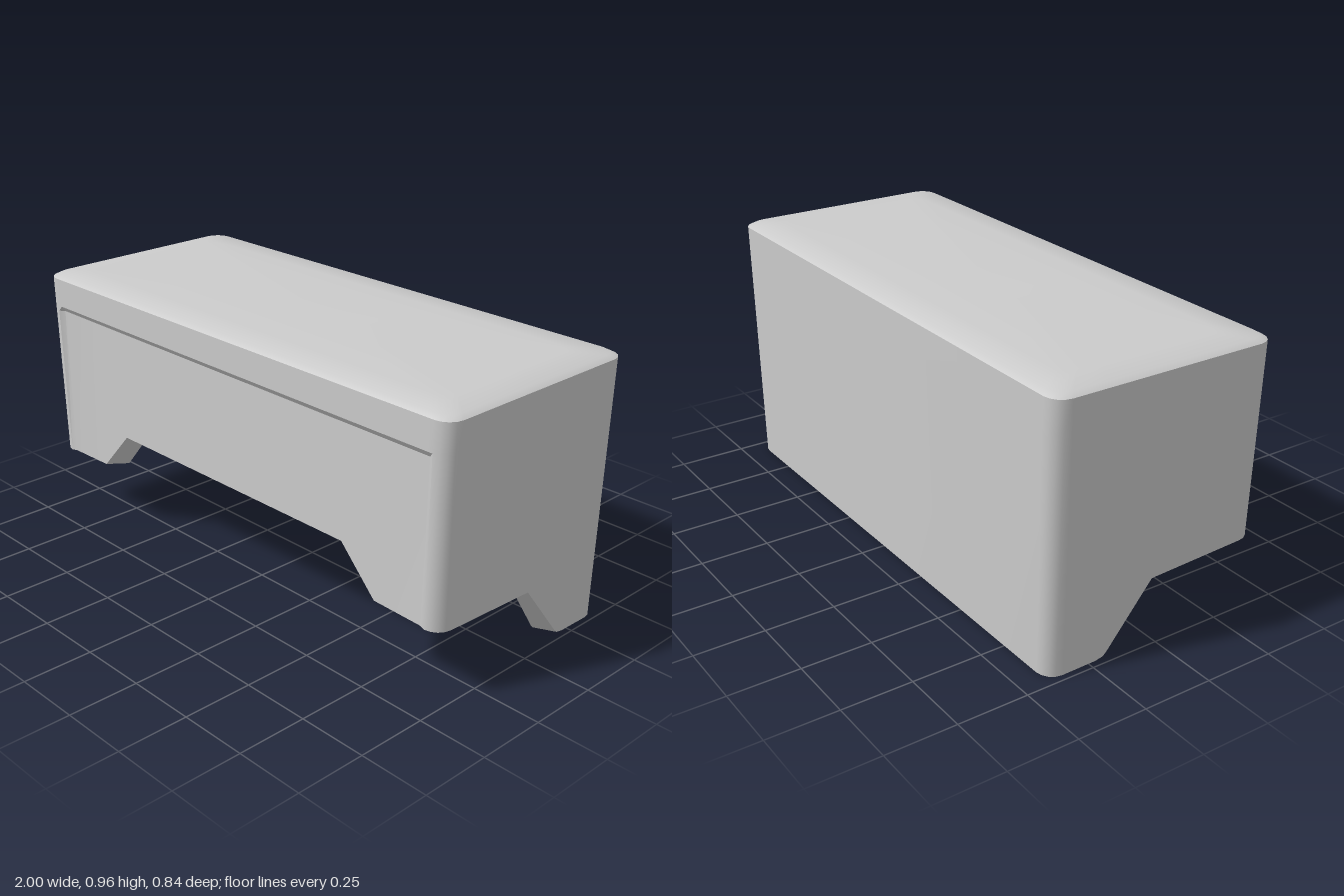
import * as THREE from 'three';
import { toCreasedNormals } from 'three/addons/utils/BufferGeometryUtils.js';

const HX = 1, HZ = 0.42, R = 0.06, WALL = 0.075;

// Half of the plan outline, front centre to back centre: [x, z, hem height]
function halfOutline() {
  const pts = [[0, HZ, 0.41], [0.57, HZ, 0.41], [0.72, HZ, 0.255], [0.92, HZ, 0.25]];
  const corner = (sign, hem) => {
    for (let i = 0; i <= 4; i++) {
      const a = (i / 4) * Math.PI / 2;
      const s = sign > 0 ? Math.sin(a) : Math.cos(a);
      const c = sign > 0 ? Math.cos(a) : Math.sin(a);
      pts.push([HX - R + R * s, sign * (HZ - R + R * c), hem]);
    }
  };
  corner(1, 0.248);
  // side hem: level, then a slope down to the rear leg
  pts.push([HX, -0.015, 0.232], [HX, -0.187, 0.02], [HX, -0.2, 0.008], [HX, -0.23, 0.002]);
  corner(-1, 0);
  pts.push([0, -HZ, 0]);
  return pts;
}

// Closed outline, counter-clockwise from above
function outline() {
  const half = halfOutline();
  const mirrored = half.slice(1, -1).reverse().map(([x, z, h]) => [-x, z, h]);
  return [...half, ...mirrored];
}

function coverGeometry() {
  const plan = outline(), n = plan.length;
  // walls lean in slightly towards the hem
  const taper = y => 0.978 + 0.022 * Math.min(1, y / 0.94);
  const ring = (yOf, inset = 0, recess = 0) => plan.map(([x, z, h]) => {
    const y = yOf(h), k = taper(y);
    const dz = z === HZ && Math.abs(x) < 0.93 ? recess : 0;
    return [x * k * (HX - inset) / HX, y, z * k * (HZ - inset) / HZ - dz];
  });
  const centre = y => plan.map(() => [0, y, 0]);
  const rings = [
    centre(0.89),                     // inner ceiling
    ring(() => 0.89, WALL),
    ring(h => h, WALL),               // inner hem
    ring(h => h, 0, 0.006),           // outer hem
    ring(() => 0.815, 0, 0.014),      // recessed front panel below the band
    ring(() => 0.835),
    ring(() => 0.94),                 // top rim
    ring(() => 0.952, 0.02),
    ring(() => 0.958, 0.12),
    centre(0.96),
  ];
  const pos = rings.flat(2), index = [];
  for (let r = 0; r < rings.length - 1; r++) {
    for (let i = 0; i < n; i++) {
      const j = (i + 1) % n;
      const a = r * n + i, b = r * n + j, c = b + n, d = a + n;
      if (r > 0) index.push(a, b, c);
      if (r < rings.length - 2) index.push(a, c, d);
      else continue;
      if (r === 0) continue;
    }
  }
  const geo = new THREE.BufferGeometry();
  geo.setAttribute('position', new THREE.Float32BufferAttribute(pos, 3));
  geo.setIndex(index);
  return toCreasedNormals(geo, 0.5);
}

export function createModel() {
  const group = new THREE.Group();
  group.name = 'boxCover';
  const material = new THREE.MeshStandardMaterial({ color: 0xcccccc });
  // hollow cover with cut-out front and sides, open underneath
  const cover = new THREE.Mesh(coverGeometry(), material);
  cover.name = 'coverShell';
  group.add(cover);
  return group;
}
